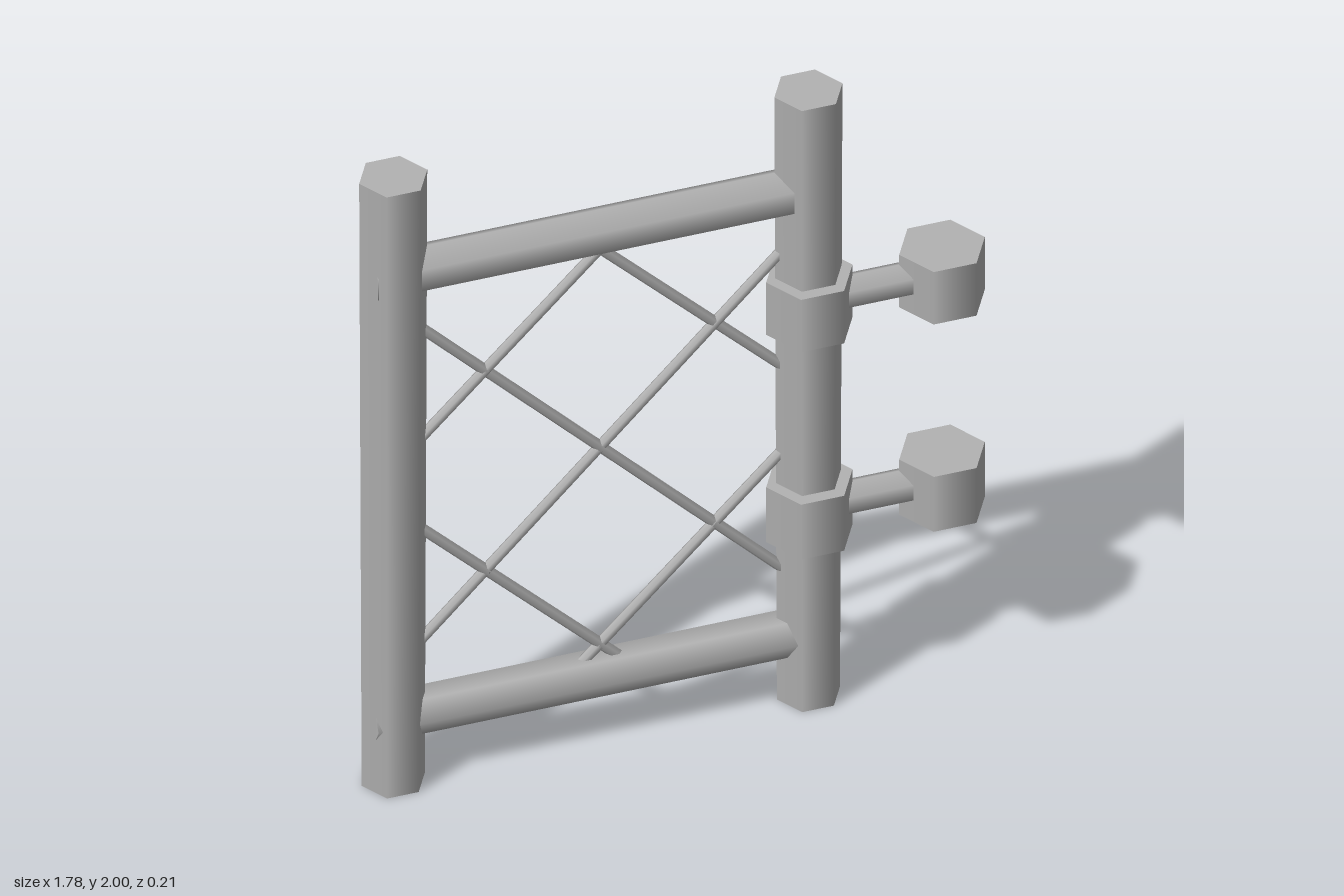
import * as THREE from 'three';

const steel = new THREE.MeshStandardMaterial({ color: 0xb2b2b2, side: THREE.DoubleSide });
steel.name = 'grey steel';

const Z = -0.01; // the frame sits slightly behind the hinge axis

export function createModel() {
  const gate = new THREE.Group();
  gate.name = 'gate';

  const add = (name, geometry, x, y, z) => {
    const mesh = new THREE.Mesh(geometry, steel);
    mesh.name = name;
    mesh.position.set(x, y, z);
    gate.add(mesh);
    return mesh;
  };

  // Six-sided prism, standing upright; turn sets where its corners point
  const hex = (rTop, rBottom, length, open = false, turn = Math.PI / 6) =>
    new THREE.CylinderGeometry(rTop, rBottom, length, 6, 1, open, turn);

  // Horizontal or slanted bar between two points in the gate's plane
  const bar = (name, x1, y1, x2, y2, r, z, turn) => {
    const dx = x2 - x1, dy = y2 - y1;
    const mesh = add(name, hex(r, r, Math.hypot(dx, dy), false, turn), (x1 + x2) / 2, (y1 + y2) / 2, z);
    mesh.rotation.z = Math.atan2(dy, dx) - Math.PI / 2;
  };

  // Upright posts: capped on top, open underneath
  for (const [name, x] of [['rightPost', -0.795], ['leftPost', 0.388]]) {
    add(name, hex(0.097, 0.09, 2, true), x, 1, Z);
    const cap = new THREE.CircleGeometry(0.097, 6).rotateX(-Math.PI / 2);
    add(name + 'Cap', cap, x, 2, Z);
  }

  // Cross rails, running into the posts
  bar('topRail', -0.86, 1.68, 0.42, 1.68, 0.069, Z, Math.PI / 6);
  bar('bottomRail', -0.86, 0.213, 0.42, 0.213, 0.066, Z, 0);

  // Diagonal lattice rods, mirrored about the middle of the gate
  const middle = -0.206;
  const rods = [
    [-0.52, 1.49, 0.52, 0.435],
    [-0.52, 1.105, 0.02, 1.64],
    [-0.52, 0.825, 0.07, 0.24],
  ];
  for (const side of [1, -1])
    for (const [x1, y1, x2, y2] of rods)
      bar('latticeRod', middle + side * x1, y1, middle + side * x2, y2, 0.016, Z);

  // Hinges: collar on the post, pin, and outer block
  for (const [y, height] of [[1.312, 0.174], [0.628, 0.182]]) {
    add('hingeCollar', hex(0.123, 0.123, height), 0.387, y, 0);
    bar('hingePin', 0.42, y + 0.004, 0.74, y + 0.004, 0.05, 0);
    add('hingeBlock', hex(0.122, 0.122, height), 0.765, y, 0);
  }

  return gate;
}
